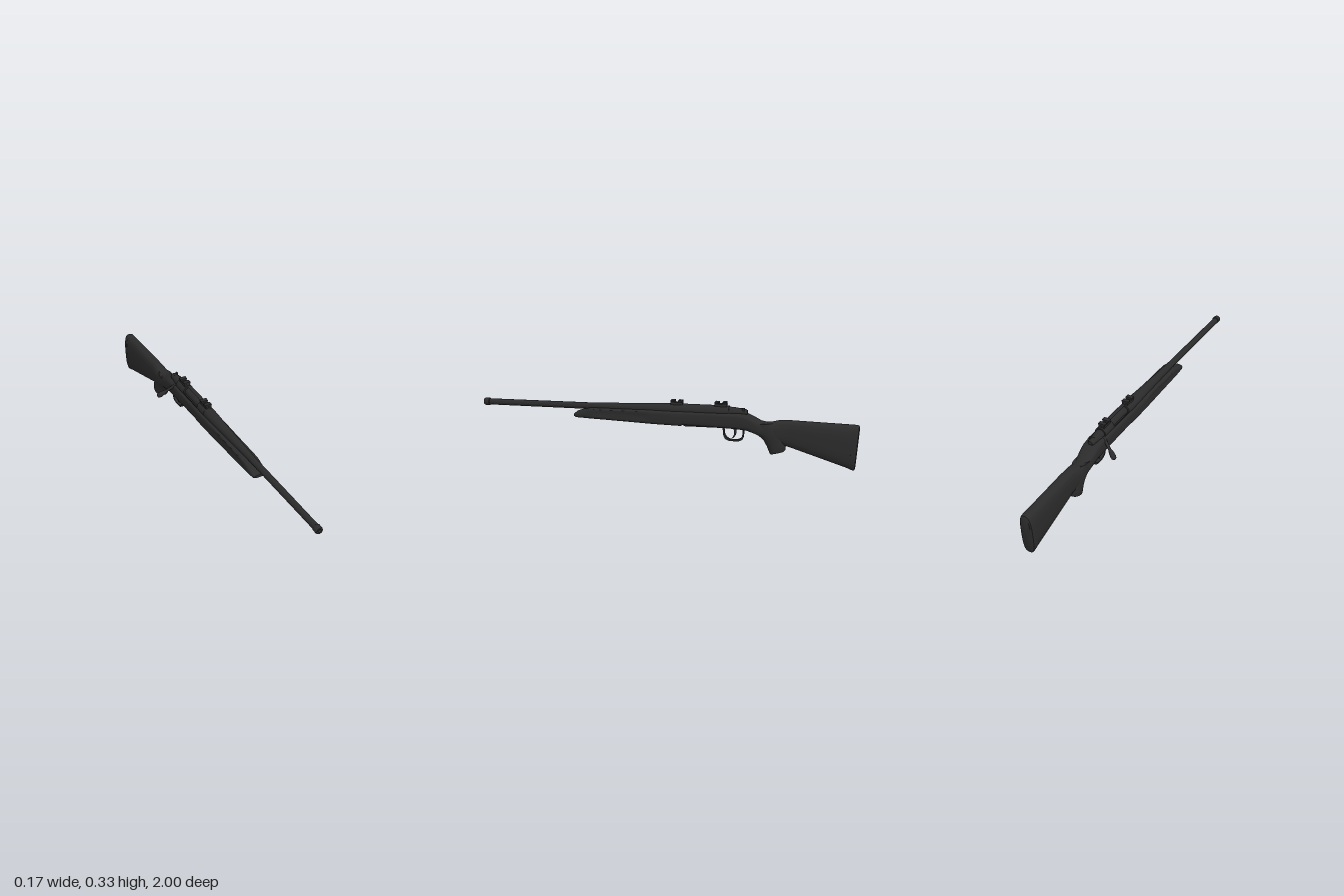
import * as THREE from 'three';
import { toCreasedNormals } from 'three/addons/utils/BufferGeometryUtils.js';

const CX = 0.037;   // centre line of the gun
const BORE_Y = 0.282;
const SIDES = 40;
const V = (x, y, z) => new THREE.Vector3(x, y, z);
const spow = (c, n) => Math.sign(c) * Math.abs(c) ** (2 / n);

// Skin a row of rings and close both ends
function loft(rings) {
  const pos = [];
  const tri = (...p) => p.forEach(v => pos.push(v.x, v.y, v.z));
  const n = rings[0].length;
  const centre = r => r.reduce((s, p) => s.add(p), V(0, 0, 0)).divideScalar(n);
  const first = rings[0], last = rings[rings.length - 1];
  const c0 = centre(first), c1 = centre(last);
  for (let i = 0; i < n; i++) {
    const j = (i + 1) % n;
    for (let k = 0; k + 1 < rings.length; k++) {
      const a = rings[k], b = rings[k + 1];
      tri(a[i], b[i], a[j]);
      tri(b[i], b[j], a[j]);
    }
    tri(c0, first[i], first[j]);
    tri(c1, last[j], last[i]);
  }
  const g = new THREE.BufferGeometry();
  g.setAttribute('position', new THREE.Float32BufferAttribute(pos, 3));
  return toCreasedNormals(g, 0.6);
}

// Ring of a rounded section, from a rule of (cos, sin) in -1..1
const ring = (n, rule) => Array.from({ length: SIDES }, (_, i) => {
  const a = (i / SIDES) * Math.PI * 2;
  return rule(spow(Math.cos(a), n), spow(Math.sin(a), n));
});

// Upright section: z, top, bottom, half width, squareness, backward lean, side scoop
const section = ([z, top, bot, w, n, lean = 0, scoop = 0]) => ring(n, (c, s) => V(
  CX + c * (w - scoop * Math.max(0, 1 - ((s - 0.1) / 0.65) ** 2)),
  (top + bot) / 2 + s * (top - bot) / 2,
  z - lean * s));

// Solid of revolution along z from [radius, z] points, rear to front
const turned = pts => toCreasedNormals(
  new THREE.LatheGeometry(pts.map(p => new THREE.Vector2(...p)), 32).rotateX(Math.PI / 2).translate(CX, BORE_Y, 0), 0.6);

// Side outline of (z, y) points extruded across x
function sidePlate(shape, width) {
  return new THREE.ExtrudeGeometry(shape, { depth: width, bevelEnabled: false, curveSegments: 16 })
    .rotateY(-Math.PI / 2).translate(CX + width / 2, 0, 0);
}

export function createModel() {
  const gun = new THREE.Group();
  gun.name = 'rifle';
  const black = new THREE.MeshStandardMaterial({ color: 0x2b2b2b, side: THREE.DoubleSide });
  black.name = 'matte black';
  const add = (name, geometry, parent = gun) => {
    const m = new THREE.Mesh(geometry, black);
    m.name = name;
    parent.add(m);
    return m;
  };
  const box = (name, w, h, d, x, y, z, parent) =>
    add(name, new THREE.BoxGeometry(w, h, d).translate(x, y, z), parent);

  // Stock from fore-end tip to the wrist and comb
  add('stock', loft([
    [0.49, 0.243, 0.226, 0.03, 3],
    [0.48, 0.25, 0.221, 0.037, 3.5],
    [0.44, 0.264, 0.22, 0.041, 4],
    [0.40, 0.276, 0.218, 0.043, 4.5, 0, 0.001],
    [0.34, 0.277, 0.216, 0.0435, 4.5, 0, 0.005],
    [0.20, 0.278, 0.21, 0.044, 4.5, 0, 0.006],
    [0.11, 0.28, 0.206, 0.0445, 4.5, 0, 0.005],
    [0.07, 0.28, 0.204, 0.0445, 4.5],
    [-0.085, 0.28, 0.2, 0.0445, 4.5],
    [-0.095, 0.28, 0.206, 0.0445, 4.5],
    [-0.30, 0.28, 0.2, 0.0445, 4.5],
    [-0.38, 0.281, 0.196, 0.0445, 4.5],
    [-0.43, 0.275, 0.19, 0.0445, 3.8],
    [-0.47, 0.257, 0.175, 0.043, 3.2],
    [-0.50, 0.242, 0.16, 0.04, 2.8],
    [-0.53, 0.236, 0.145, 0.038, 2.6],
    [-0.56, 0.24, 0.13, 0.037, 2.6],
    [-0.60, 0.25, 0.12, 0.036, 2.6],
    [-0.635, 0.251, 0.115, 0.032, 2.8],
    [-0.66, 0.25, 0.108, 0.034, 3],
    [-0.96, 0.242, 0.014, 0.035, 3, 0.008],
  ].map(section)));

  add('buttPad', loft([
    [-0.96, 0.242, 0.013, 0.0355, 3, 0.008],
    [-0.98, 0.241, 0.005, 0.0355, 3, 0.008],
    [-0.988, 0.238, 0.007, 0.033, 3, 0.008],
    [-0.992, 0.23, 0.015, 0.027, 3, 0.008],
  ].map(section)));

  // Pistol grip: front z, front y, back z, back y, half width
  add('grip', loft([
    [-0.42, 0.225, -0.57, 0.235, 0.037],
    [-0.435, 0.192, -0.61, 0.205, 0.039],
    [-0.485, 0.168, -0.62, 0.175, 0.038],
    [-0.515, 0.142, -0.627, 0.15, 0.037],
    [-0.534, 0.108, -0.63, 0.12, 0.036],
    [-0.546, 0.078, -0.629, 0.097, 0.0365],
    [-0.55, 0.071, -0.625, 0.09, 0.034],
  ].map(([zf, yf, zb, yb, w]) => ring(2.5, (c, s) => {
    const t = (s + 1) / 2;
    return V(CX + c * w, yf + (yb - yf) * t, zf + (zb - zf) * t);
  }))));

  // Barrel with muzzle collar and bore
  add('barrel', turned([
    [0.031, -0.06], [0.031, 0.02], [0.028, 0.08], [0.022, 0.25], [0.0175, 0.42], [0.0165, 0.968],
    [0.02, 0.971], [0.02, 0.992], [0.017, 1], [0.0085, 1], [0.007, 0.995], [0.007, 0.95], [0, 0.95],
  ]));

  // Receiver: closed ring, side opening and rear bridge
  const tube = (name, z0, z1, start = 0, length = Math.PI * 2) => add(name,
    new THREE.CylinderGeometry(0.032, 0.032, z1 - z0, 32, 1, length < 6, start, length)
      .rotateX(Math.PI / 2).translate(CX, BORE_Y, (z0 + z1) / 2));
  tube('receiverRing', -0.1, -0.03);
  tube('receiverPort', -0.25, -0.1, THREE.MathUtils.degToRad(265), THREE.MathUtils.degToRad(285));
  tube('receiverBridge', -0.335, -0.25);

  // Bolt body and tapering rear shroud
  add('bolt', turned([
    [0, -0.43], [0.012, -0.43], [0.018, -0.42], [0.021, -0.39], [0.026, -0.36], [0.026, -0.335], [0.022, -0.33], [0.022, -0.09],
  ]));
  box('safetyLever', 0.008, 0.016, 0.012, CX + 0.012, 0.299, -0.41);
  box('cockingPiece', 0.012, 0.012, 0.035, CX, 0.297, -0.385);

  // Bolt handle and knob
  const root = V(0.012, 0.278, -0.345), end = V(-0.08, 0.202, -0.392);
  const axis = end.clone().sub(root);
  const handle = new THREE.LatheGeometry([
    [0.009, 0], [0.0075, 0.055], [0.0075, 0.07], [0.0125, 0.09], [0.0145, 0.11], [0.0125, 0.122], [0.007, 0.128], [0, 0.129],
  ].map(p => new THREE.Vector2(...p)), 20);
  handle.applyQuaternion(new THREE.Quaternion().setFromUnitVectors(V(0, 1, 0), axis.normalize()));
  add('boltHandle', handle.translate(root.x, root.y, root.z));

  // Two dovetail sight mounts, each with a cross slot
  for (const [label, z] of [['front', -0.06], ['rear', -0.292]]) {
    const mount = new THREE.Group();
    mount.name = label + 'SightMount';
    gun.add(mount);
    box('mountBase', 0.032, 0.016, 0.064, CX, 0.314, z, mount);
    for (const s of [-1, 1]) {
      const p = new THREE.Shape([[-0.015, 0.32], [0.015, 0.32], [0.0195, 0.327], [0.0185, 0.333], [-0.0185, 0.333], [-0.0195, 0.327]]
        .map(q => new THREE.Vector2(...q)));
      add('mountRail', new THREE.ExtrudeGeometry(p, { depth: 0.022, bevelEnabled: false })
        .translate(CX, 0, z + s * 0.02 - 0.011), mount);
    }
  }

  // Floor plate under the action
  box('floorPlate', 0.05, 0.008, 0.2, CX, 0.204, -0.2);

  // Trigger guard loop and trigger
  const loop = (z0, z1, y0) => {
    const zm = (z0 + z1) / 2;
    return [[z0, 0.2], [z0 + 0.003, y0 + 0.02], [z0 + 0.02, y0 + 0.003], [zm, y0], [z1 - 0.025, y0 + 0.004], [z1 - 0.005, y0 + 0.025], [z1, 0.2]]
      .map(q => new THREE.Vector2(...q));
  };
  const guard = new THREE.Shape(new THREE.SplineCurve(loop(-0.414, -0.303, 0.129)).getPoints(32));
  guard.holes.push(new THREE.Path(new THREE.SplineCurve(loop(-0.407, -0.31, 0.136)).getPoints(32)));
  add('triggerGuard', sidePlate(guard, 0.024).scale(1, 1, 1));

  const trigger = new THREE.Shape();
  trigger.moveTo(-0.352, 0.205);
  trigger.quadraticCurveTo(-0.374, 0.17, -0.352, 0.146);
  trigger.lineTo(-0.358, 0.144);
  trigger.quadraticCurveTo(-0.384, 0.17, -0.368, 0.205);
  add('trigger', sidePlate(trigger, 0.012));

  return gun;
}
